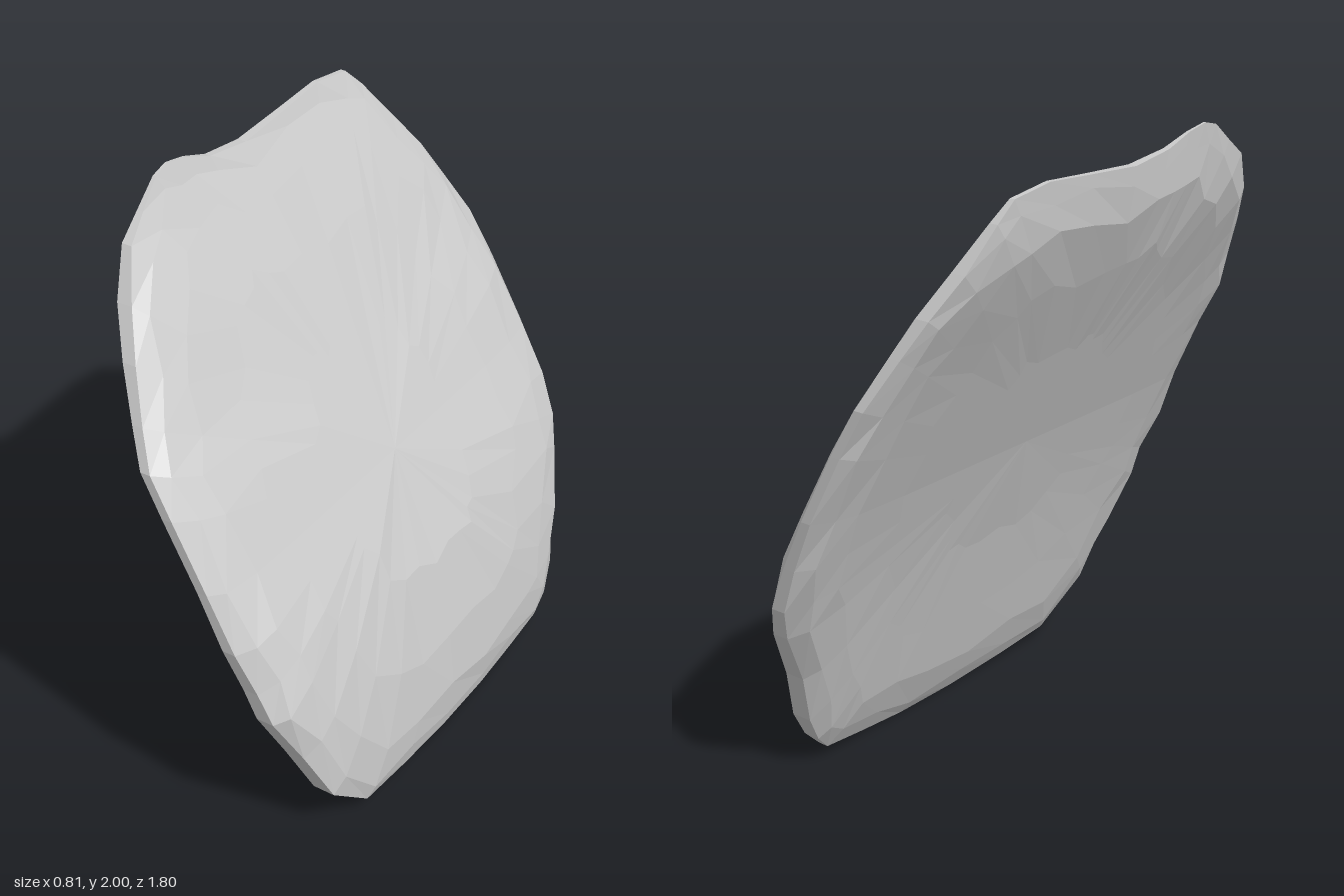
import * as THREE from 'three';

// Slab outline as [z, y], counter-clockwise when seen from +x
const OUTLINE = [
  [-0.9, 1.0], [-0.88, 1.22], [-0.865, 1.37], [-0.8, 1.52], [-0.75, 1.63], [-0.67, 1.75],
  [-0.58, 1.88], [-0.52, 1.94], [-0.37, 1.96], [-0.18, 1.945], [0.03, 1.93], [0.19, 1.95],
  [0.29, 1.985], [0.37, 2.0], [0.43, 1.985], [0.52, 1.92], [0.61, 1.86], [0.7, 1.73],
  [0.78, 1.6], [0.85, 1.46], [0.9, 1.35], [0.905, 1.22], [0.9, 1.0], [0.9, 0.82],
  [0.875, 0.68], [0.86, 0.57], [0.78, 0.4], [0.69, 0.2], [0.52, 0.05], [0.3, 0.025],
  [0.05, 0.003], [-0.2, 0.0], [-0.4, 0.02], [-0.57, 0.04], [-0.63, 0.1], [-0.69, 0.2],
  [-0.75, 0.38], [-0.85, 0.57], [-0.89, 0.68], [-0.895, 0.83],
];

// Leaning side profile as [y, x of the lower face, x of the upper face]
const PROFILE = [
  [0, 0.355, 0.375], [0.04, 0.325, 0.385], [0.12, 0.28, 0.405], [0.2, 0.25, 0.4],
  [0.42, 0.185, 0.37], [0.6, 0.13, 0.325], [0.8, 0.06, 0.25], [1.0, -0.02, 0.14],
  [1.2, -0.11, 0.04], [1.4, -0.2, -0.085], [1.6, -0.305, -0.185], [1.7, -0.36, -0.24],
  [1.8, -0.392, -0.3], [1.9, -0.4, -0.36], [2.0, -0.408, -0.398],
];

function faces(y) {
  let i = 1;
  while (i < PROFILE.length - 1 && PROFILE[i][0] < y) i++;
  const [y0, a0, b0] = PROFILE[i - 1], [y1, a1, b1] = PROFILE[i];
  const k = THREE.MathUtils.clamp((y - y0) / (y1 - y0), 0, 1);
  return [a0 + (a1 - a0) * k, b0 + (b1 - b0) * k];
}

// Rings as [distance from centre, thickness share at the sides]
const RINGS = [[0, 1], [0.35, 1], [0.63, 1], [0.83, 0.94], [0.94, 0.72], [1, 0.22]];

function slabGeometry() {
  const pos = [], index = [], n = OUTLINE.length;
  const rings = [
    ...RINGS.map(([t, share]) => [t, share, 1]),
    ...RINGS.slice().reverse().map(([t, share]) => [t, share, -1]),
  ];
  rings.forEach(([t, share, side], r) => {
    OUTLINE.forEach(([oz, oy], j) => {
      // Gentle uneven spacing of the inner rings gives chipped facets
      const s = t > 0 && t < 1 ? t + 0.018 * Math.sin(j * 2.3 + r * 1.7) : t;
      const z = oz * s, y = 1 + (oy - 1) * s;
      const [low, high] = faces(y);
      const sideways = Math.abs(oz) / Math.hypot(oz, oy - 1);
      const half = (high - low) / 2 * (1 - (1 - share) * sideways);
      pos.push((low + high) / 2 + side * half, y, z);
      if (r === rings.length - 1) return;
      const k = (j + 1) % n, a = r * n + j, b = r * n + k, c = a + n, d = b + n;
      if (r > 0) index.push(a, d, b);
      if (r < rings.length - 2) index.push(a, c, d);
      else index.push(a, c, b);
      if (r === rings.length - 2) index.splice(index.length - 6, 3);
    });
  });
  const geo = new THREE.BufferGeometry();
  geo.setAttribute('position', new THREE.Float32BufferAttribute(pos, 3));
  geo.setIndex(index);
  geo.computeVertexNormals();
  return geo;
}

export function createModel() {
  const group = new THREE.Group();
  group.name = 'leaningRock';
  const slab = new THREE.Mesh(
    slabGeometry(),
    new THREE.MeshStandardMaterial({ color: 0xcccccc, flatShading: true }),
  );
  slab.name = 'stoneSlab';
  group.add(slab);
  return group;
}
